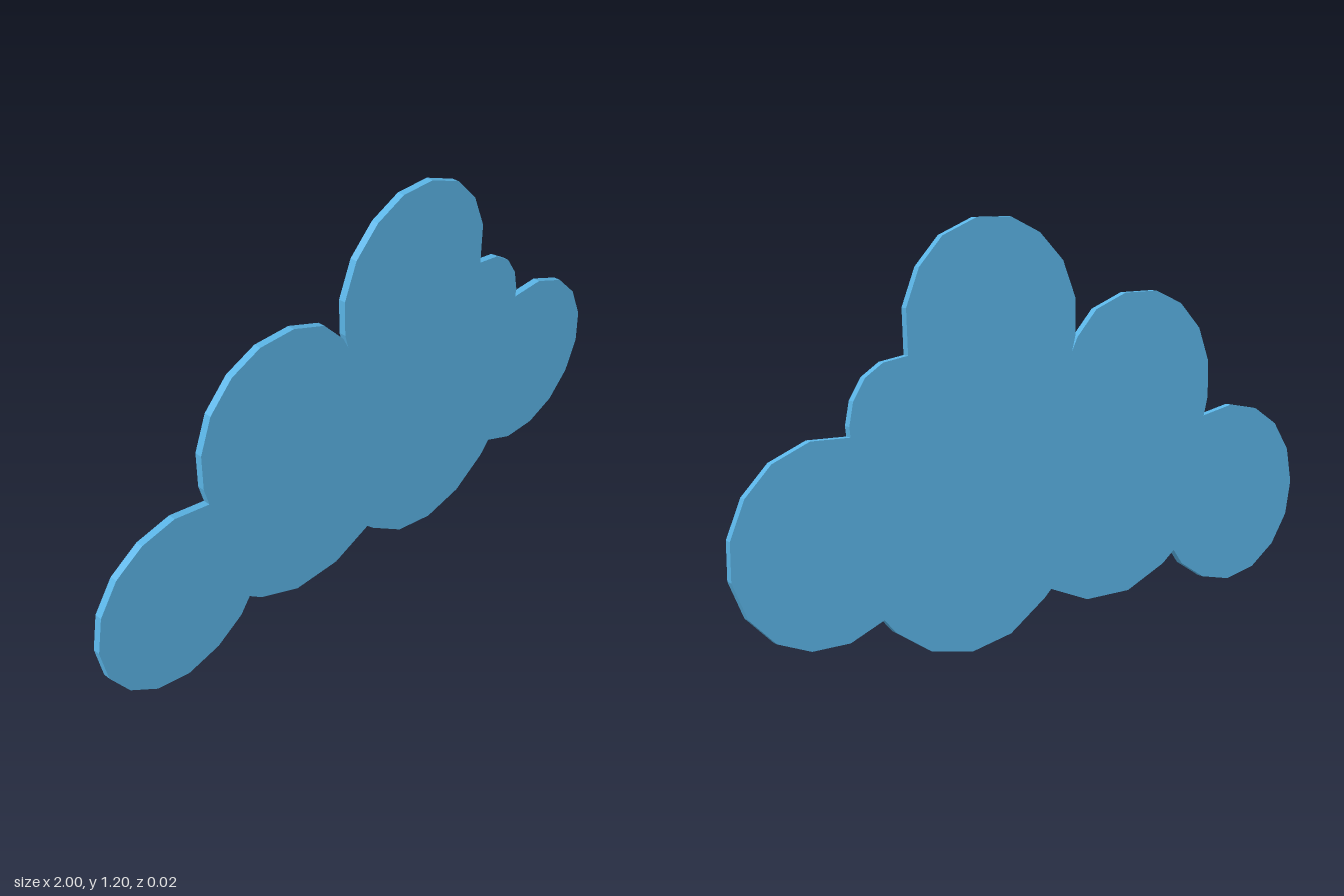
import * as THREE from 'three';

// Outline of each lobe, walked clockwise from the far left
const lobes = [
  // left puff, upper half
  [[-1, .325], [-.98, .435], [-.92, .525], [-.83, .583], [-.72, .605], [-.603, .583]],
  // upper left puff
  [[-.618, .64], [-.618, .75], [-.578, .855], [-.5, .935], [-.4, .977], [-.28, .977], [-.17, .935], [-.1, .86], [-.08, .82]],
  // tall top puff
  [[-.092, .865], [-.092, .972], [-.047, 1.08], [.035, 1.16], [.135, 1.205], [.25, 1.205], [.36, 1.16], [.435, 1.08], [.477, .975], [.473, .85]],
  // small shoulder
  [[.55, .838], [.605, .803], [.642, .745], [.655, .68], [.652, .652]],
  // right puff
  [[.77, .655], [.88, .61], [.957, .532], [1, .43], [1, .325], [.957, .222], [.88, .145], [.78, .105], [.665, .105], [.56, .148]],
  // lower right puff
  [[.525, .107], [.41, .031], [.275, .003], [.14, .03], [.02, .112], [-.005, .135]],
  // lower left puff
  [[-.14, .08], [-.3, .08], [-.44, .14], [-.485, .175]],
  // left puff, lower half
  [[-.52, .127], [-.61, .07], [-.72, .045], [-.83, .067], [-.92, .13], [-.98, .22]],
];

export function createModel() {
  const group = new THREE.Group();
  group.name = 'cloud';

  // Thin flat plate with straight-cut, faceted edges
  const depth = 0.022;
  const shape = new THREE.Shape(lobes.flat().map(([x, y]) => new THREE.Vector2(x, y)));
  const geometry = new THREE.ExtrudeGeometry(shape, { depth, bevelEnabled: false });
  geometry.translate(0, 0, -depth / 2);

  const plate = new THREE.Mesh(geometry, new THREE.MeshStandardMaterial({ color: 0x5ab4e6 }));
  plate.name = 'cloudPlate';
  group.add(plate);
  return group;
}
